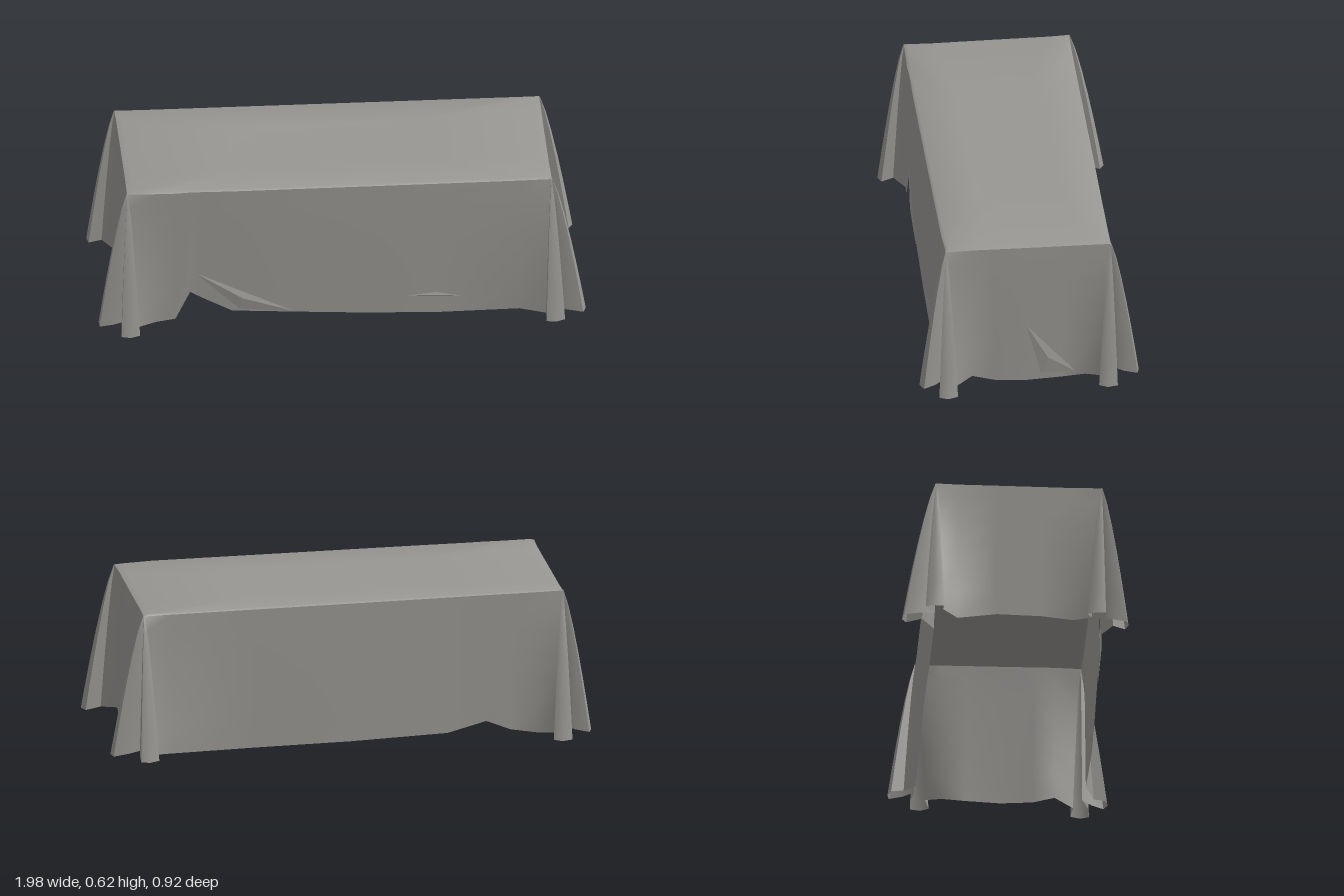
import * as THREE from 'three';
import { toCreasedNormals } from 'three/addons/utils/BufferGeometryUtils.js';

const cloth = new THREE.MeshStandardMaterial({ color: 0x999793, side: THREE.DoubleSide });
cloth.name = 'grey cloth';
const { lerp, clamp } = THREE.MathUtils;

// Each corner: rim position, the tips of its two gathered folds, and the hem height there
const corners = [
  { rim: [-0.875, 0.638, -0.325], tips: [[-0.99, -0.34], [-0.85, -0.465]], y: 0.033 },
  { rim: [0.85, 0.63, -0.325], tips: [[0.845, -0.44], [0.985, -0.3]], y: 0.033 },
  { rim: [0.85, 0.628, 0.345], tips: [[0.99, 0.35], [0.86, 0.455]], y: 0.015 },
  { rim: [-0.875, 0.632, 0.345], tips: [[-0.87, 0.455], [-0.99, 0.315]], y: 0.015 },
];

// Hem of the side that follows each corner, clockwise from above: x, y, z
const backHem = [
  [-0.77, 0.03, -0.33], [-0.66, 0.05, -0.33], [-0.56, 0.09, -0.325], [-0.4, 0.05, -0.33],
  [0, 0.04, -0.335], [0.4, 0.035, -0.33], [0.74, 0.03, -0.33],
];
const rightHem = [
  [0.86, 0.03, -0.22], [0.865, 0.025, -0.12], [0.87, 0.02, 0.02], [0.865, 0.025, 0.15], [0.86, 0.045, 0.24],
];
const frontHem = [
  [0.72, 0.03, 0.36], [0.4, 0.032, 0.368], [0.1, 0.04, 0.365], [-0.2, 0.055, 0.36],
  [-0.45, 0.07, 0.358], [-0.57, 0.13, 0.35], [-0.62, 0.16, 0.35], [-0.68, 0.04, 0.355], [-0.76, 0.025, 0.35],
];
const leftHem = [[-0.88, 0.03, 0.23], [-0.88, 0.045, 0.1], [-0.88, 0.05, -0.08], [-0.88, 0.03, -0.24]];
const sideHems = [backHem, rightHem, frontHem, leftHem];

// Hem outline of one fold: out along one flank, round the tip and back
function foldOutline(rim, [tx, tz], y) {
  const dx = tx - rim[0], dz = tz - rim[2], len = Math.hypot(dx, dz);
  return [[0.45, -0.03], [0.9, -0.04], [1, 0], [0.92, 0.036], [0.45, 0.03]].map(([along, side]) => ({
    hem: [rim[0] + dx * along - (dz / len) * side, y + 0.02 * (1 - along), rim[2] + dz * along + (dx / len) * side],
    rim,
  }));
}

// Table edge directly above a hem point of a flat side
function edgeAbove([x, , z]) {
  const u = (x + 0.875) / 1.725, v = (z + 0.325) / 0.67;
  return [clamp(x, -0.875, 0.85), 0.63 + 0.007 * (1 - u) * (1 - v), clamp(z, -0.325, 0.352)];
}

// Whole outline: two folds with a pinch between them, then the flat side
const outline = corners.flatMap(({ rim, tips, y }, i) => [
  ...foldOutline(rim, tips[0], y),
  { hem: [rim[0] * 1.005, y + 0.02, rim[2] * 1.02], rim },
  ...foldOutline(rim, tips[1], y),
  ...sideHems[i].map(hem => ({ hem, rim: edgeAbove(hem) })),
]);

// Rings of points joined by quads, each ring outside or below the one before
function skin(rings) {
  const index = [], n = rings[0].length;
  for (let r = 0; r < rings.length - 1; r++) {
    for (let i = 0; i < n; i++) {
      const j = (i + 1) % n, a = r * n, b = a + n;
      index.push(a + i, a + j, b + j, a + i, b + j, b + i);
    }
  }
  const g = new THREE.BufferGeometry();
  g.setAttribute('position', new THREE.Float32BufferAttribute(rings.flat(2), 3));
  g.setIndex(index);
  return toCreasedNormals(g, 0.75);
}

// Top rings run from the middle out to the rim, with a slight sag
const topRings = [0, 0.5, 0.97].map(s => outline.map(({ rim: [x, y, z] }) =>
  [x * s, lerp(0.628, y, s * s), z * s]));

// Hanging rings flare from the softened rim to the hem
const dropRings = [0.012, 0.12, 0.28, 0.46, 0.64, 0.82, 1].map(t => outline.map(({ rim, hem }) => {
  const f = t ** 0.75;
  return [lerp(rim[0], hem[0], f), lerp(rim[1], hem[1], t), lerp(rim[2], hem[2], f)];
}));

// Shallow creased fold: three corners around a raised middle
function crease(a, b, c, out) {
  const mid = [0, 1, 2].map(k => (a[k] + b[k] + c[k]) / 3 + out[k]);
  const g = new THREE.BufferGeometry();
  g.setAttribute('position', new THREE.Float32BufferAttribute([a, b, mid, b, c, mid, c, a, mid].flat(), 3));
  g.computeVertexNormals();
  return g;
}

export function createModel() {
  const group = new THREE.Group();
  group.name = 'drapedTablecloth';
  const add = (name, geometry) => {
    const mesh = new THREE.Mesh(geometry, cloth);
    mesh.name = name;
    group.add(mesh);
  };
  add('clothSurface', skin([...topRings, ...dropRings]));
  // Small creases pressed into the hanging sides
  add('frontFold', crease([-0.6, 0.25, 0.356], [-0.42, 0.08, 0.362], [-0.2, 0.06, 0.363], [0, 0, 0.008]));
  add('frontCrease', crease([0.26, 0.115, 0.369], [0.48, 0.105, 0.368], [0.38, 0.125, 0.368], [0, 0, 0.004]));
  add('endFold', crease([0.864, 0.27, 0.02], [0.871, 0.05, -0.04], [0.868, 0.05, -0.18], [0.008, 0, 0]));
  return group;
}
